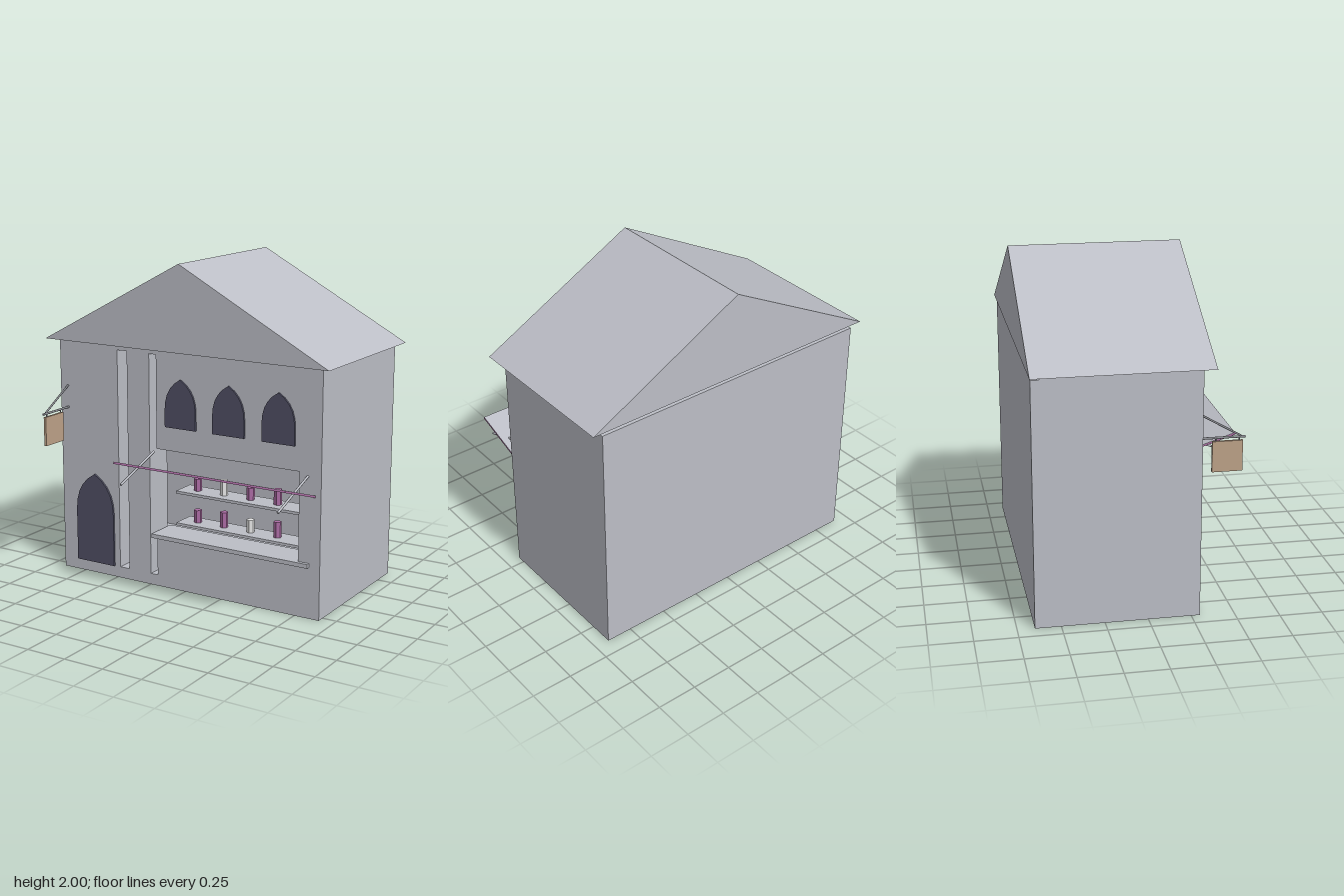
import * as THREE from 'three';

const material = (name, color, flatShading = false) => {
  const m = new THREE.MeshStandardMaterial({ color, flatShading });
  m.name = name;
  return m;
};

export function createModel() {
  const model = new THREE.Group();
  model.name = 'shopHouse';
  const stone = material('stone grey', 0xbcbec6);
  const glass = material('dark slate', 0x504f64);
  const plum = material('plum', 0xac6ca4);
  const wood = material('sign wood', 0xbda288);
  const iron = material('iron grey', 0x8a8c92);
  const white = material('white', 0xf4f4f4);

  const add = (name, geometry, mat, parent = model) => {
    const mesh = new THREE.Mesh(geometry, mat);
    mesh.name = name;
    parent.add(mesh);
    return mesh;
  };
  // Box given by its minimum and maximum on each axis
  const box = (name, mat, x0, x1, y0, y1, z0, z1, parent) => {
    const mesh = add(name, new THREE.BoxGeometry(x1 - x0, y1 - y0, z1 - z0), mat, parent);
    mesh.position.set((x0 + x1) / 2, (y0 + y1) / 2, (z0 + z1) / 2);
    return mesh;
  };
  // Thin round rod between two points
  const rod = (name, mat, a, b, r, parent) => {
    const from = new THREE.Vector3(...a), to = new THREE.Vector3(...b);
    const dir = to.clone().sub(from);
    const mesh = add(name, new THREE.CylinderGeometry(r, r, dir.length(), 8), mat, parent);
    mesh.position.copy(from).add(to).multiplyScalar(0.5);
    mesh.quaternion.setFromUnitVectors(new THREE.Vector3(0, 1, 0), dir.normalize());
    return mesh;
  };
  const polygon = (points, Type = THREE.Shape) => new Type(points.map(([x, y]) => new THREE.Vector2(x, y)));

  // Front wall, pierced by a slot and by a slot joined to the shop opening
  const front = polygon([[-0.91, 0], [0.91, 0], [0.91, 1.48], [-0.91, 1.48]]);
  front.holes.push(
    polygon([[-0.48, 0.07], [-0.48, 1.445], [-0.41, 1.445], [-0.41, 0.07]], THREE.Path),
    polygon([[-0.25, 0.07], [-0.25, 1.445], [-0.2, 1.445], [-0.2, 0.87], [0.77, 0.87],
      [0.77, 0.31], [-0.2, 0.31], [-0.2, 0.07]], THREE.Path),
  );
  add('frontWall', new THREE.ExtrudeGeometry(front, { depth: 0.19, bevelEnabled: false }), stone).position.z = 0.11;

  // Remaining shell
  for (const [name, x] of [['leftWall', 0.885], ['rightWall', -0.885]]) {
    box(name, stone, x - 0.025, x + 0.025, 0, 1.48, -0.6, 0.11);
  }
  box('backWall', stone, -0.91, 0.91, 0, 1.455, -0.65, -0.6);
  box('floor', stone, -0.86, 0.86, 0, 0.07, -0.6, 0.11);
  box('ceiling', stone, -0.86, 0.86, 1.445, 1.479, -0.6, 0.11);

  // Gabled roof
  const gable = polygon([[-0.975, 1.48], [0.975, 1.48], [0, 2]]);
  add('roof', new THREE.ExtrudeGeometry(gable, { depth: 1.02, bevelEnabled: false }), stone).position.z = -0.66;

  // Pointed-arch door and windows
  const arch = (name, x, half, bottom, spring, top) => {
    const s = new THREE.Shape();
    const control = spring + (top - spring) * 0.7;
    s.moveTo(-half, bottom);
    s.lineTo(half, bottom);
    s.lineTo(half, spring);
    s.quadraticCurveTo(half, control, 0, top);
    s.quadraticCurveTo(-half, control, -half, spring);
    const geometry = new THREE.ExtrudeGeometry(s, { depth: 0.012, bevelEnabled: false, curveSegments: 5 });
    add(name, geometry, glass).position.set(x, 0, 0.3);
  };
  arch('door', -0.66, 0.14, 0.07, 0.4, 0.645);
  for (const x of [-0.025, 0.305, 0.635]) arch('window', x, 0.107, 1.015, 1.12, 1.312);

  // Counter sill and the two shelves with goods
  box('counterSill', stone, -0.23, 0.84, 0.31, 0.335, 0.11, 0.322);
  const shelves = [
    { top: 0.36, heights: [0.08, 0.097, 0.08, 0.097, 0.08], whites: [2] },
    { top: 0.565, heights: [0.077, 0.095, 0.077, 0.095, 0.077], whites: [1, 4] },
  ];
  for (const { top, heights, whites } of shelves) {
    box('shelf', stone, -0.18, 0.79, top - 0.017, top, -0.04, 0.12);
    heights.forEach((h, i) => {
      const jar = add('jar', new THREE.CylinderGeometry(0.025, 0.025, h, 6).toNonIndexed(),
        whites.includes(i) ? white : plum);
      jar.geometry.computeVertexNormals();
      jar.rotation.y = 0.15;
      jar.position.set(-0.07 + i * 0.187, top + h / 2, 0.04);
    });
  }

  // Awning tilted up towards the street, with a grey top face
  const awning = new THREE.Group();
  awning.name = 'awning';
  awning.position.set(0.307, 0.797, 0.48);
  awning.rotation.x = -Math.atan2(0.12, 0.36);
  model.add(awning);
  box('awningBoard', plum, -0.568, 0.568, -0.006, 0.005, -0.19, 0.19, awning);
  box('awningTop', stone, -0.568, 0.568, 0.005, 0.007, -0.19, 0.189, awning);
  for (const x of [-0.22, 0.825]) {
    rod('awningStrut', stone, [x, 0.85, 0.3], [x, 0.727, 0.648], 0.007);
  }

  // Hanging sign on its bracket
  const sign = new THREE.Group();
  sign.name = 'hangingSign';
  sign.position.x = -0.855;
  model.add(sign);
  box('signBoard', wood, -0.008, 0.008, 0.85, 1.03, 0.365, 0.54, sign);
  rod('bracketArm', iron, [0, 1.05, 0.3], [0, 1.05, 0.555], 0.007, sign);
  rod('bracketBrace', iron, [0, 1.188, 0.3], [0, 1.055, 0.53], 0.006, sign);
  for (const z of [0.385, 0.52]) rod('signHook', iron, [0, 1.025, z], [0, 1.05, z], 0.004, sign);

  return model;
}
